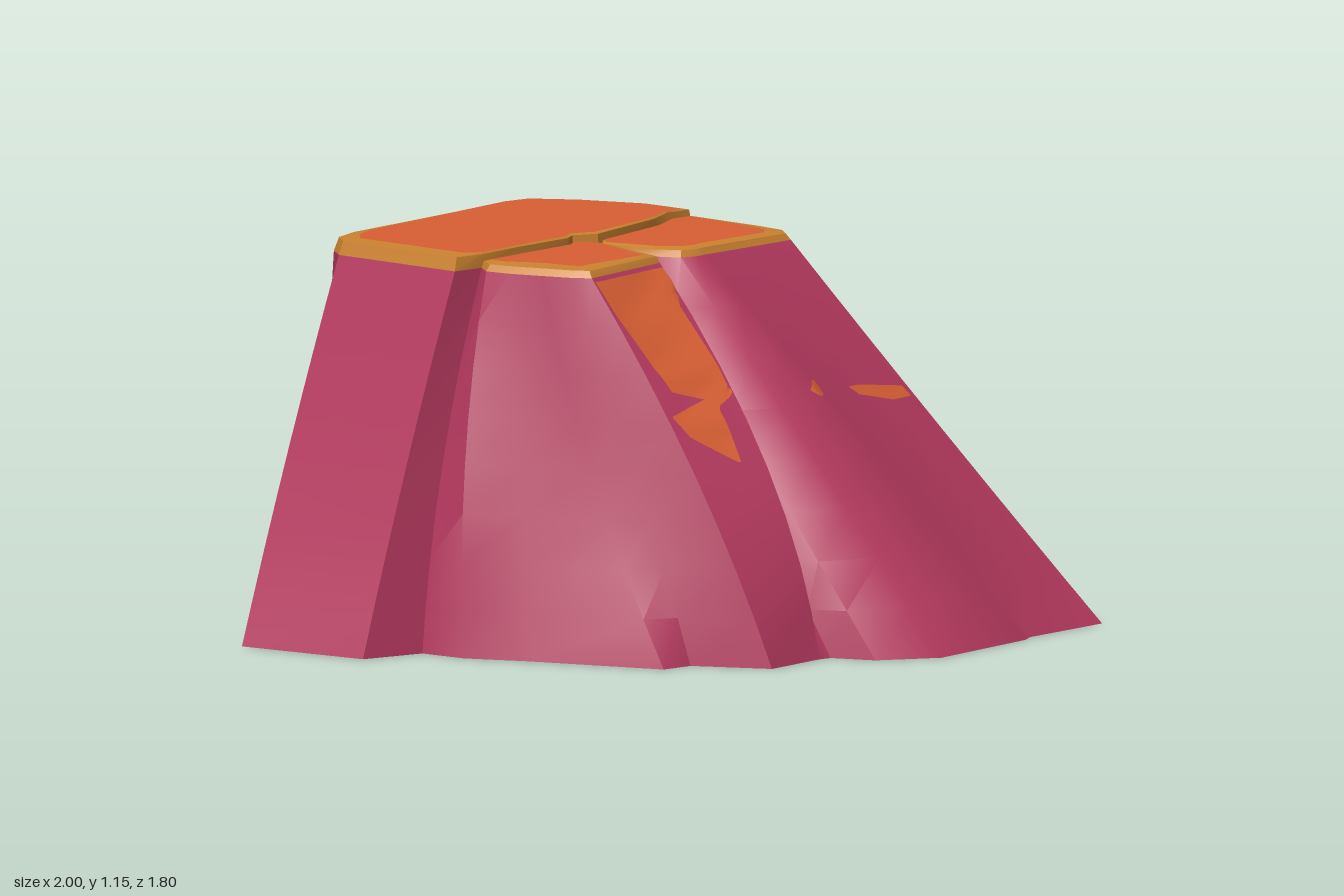
import * as THREE from 'three';
import { toCreasedNormals } from 'three/addons/utils/BufferGeometryUtils.js';

// Rock columns: base x,z - middle x,z - top x,z, running round from the back left
const COLUMNS = [
  [-1, -.82, -.76, -.84, -.55, -.82], [-.64, -.84, -.56, -.87, -.5, -.88],
  [-.4, -.9, -.4, -.9, -.4, -.9], [.3, -.9, .3, -.9, .3, -.89],
  [.66, -.88, .53, -.87, .38, -.86], [.74, -.75, .61, -.75, .46, -.73],
  [.85, -.27, .7, -.42, .54, -.53], [.93, .03, .75, -.18, .55, -.38],
  [1, .38, .78, .1, .55, -.12], [.98, .7, .76, .33, .54, -.01],
  [.92, .88, .72, .44, .5, .04], [.6, .87, .36, .45, .14, .01],
  [.55, .89, .31, .48, .1, .01], [.15, .9, .1, .46, .05, -.01],
  [-.01, .78, -.04, .37, .01, -.1], [-.06, .65, -.08, .28, 0, -.27],
  [-.1, .64, -.12, .46, -.06, 0], [-.32, .64, -.36, .38, -.4, .02],
  [-.43, .42, -.44, .22, -.43, -.03], [-.53, .4, -.5, .1, -.46, -.12],
  [-.67, 0, -.57, -.1, -.49, -.22], [-.75, -.18, -.66, -.25, -.5, -.3],
  [-.76, -.33, -.64, -.35, -.46, -.35], [-.95, -.4, -.76, -.39, -.56, -.37],
];
const WALL_TOP = 1.11;

// Triangle list to geometry with softened facets
function fromTriangles(points, angle = 0.6) {
  const g = new THREE.BufferGeometry();
  g.setAttribute('position', new THREE.Float32BufferAttribute(points.flatMap(p => [p.x, p.y, p.z]), 3));
  g.computeVertexNormals();
  return toCreasedNormals(g, angle);
}

// Joins rings of points, listed from low to high
function loft(rings, closed = true) {
  const out = [];
  for (let r = 0; r + 1 < rings.length; r++) {
    const lo = rings[r], hi = rings[r + 1], n = lo.length;
    for (let i = 0; i < (closed ? n : n - 1); i++) {
      const j = (i + 1) % n;
      out.push(lo[i], hi[i], lo[j], lo[j], hi[i], hi[j]);
    }
  }
  return out;
}

// Fills a ring, facing up or down
function fill(ring, up) {
  const faces = THREE.ShapeUtils.triangulateShape(ring.map(p => new THREE.Vector2(p.x, p.z)), []);
  return faces.flatMap(f => {
    const [a, b, c] = f.map(i => ring[i]);
    const ny = (b.z - a.z) * (c.x - a.x) - (b.x - a.x) * (c.z - a.z);
    return (ny > 0) === up ? [a, b, c] : [a, c, b];
  });
}

export function createModel() {
  const group = new THREE.Group();
  const material = (name, color) => {
    const m = new THREE.MeshStandardMaterial({ color });
    m.name = name;
    return m;
  };
  const crimson = material('crimson rock', 0xb5395f);
  const orange = material('orange moss', 0xda6034);
  const ochre = material('ochre rim', 0xcc8230);
  const add = (name, points, mat) => {
    const mesh = new THREE.Mesh(fromTriangles(points), mat);
    mesh.name = name;
    group.add(mesh);
    return mesh;
  };

  // Rock body: each column curves through its three points
  const rings = [];
  const ROWS = 8;
  for (let r = 0; r <= ROWS; r++) {
    const t = r / ROWS;
    const a = (1 - t) * (1 - 2 * t), b = 4 * t * (1 - t), c = t * (2 * t - 1);
    rings.push(COLUMNS.map(k => new THREE.Vector3(
      a * k[0] + b * k[2] + c * k[4], t * WALL_TOP, a * k[1] + b * k[3] + c * k[5])));
  }
  const top = rings[ROWS];
  const body = add('rockBody', [...loft(rings), ...fill(rings[0], false), ...fill(top, true)], crimson);

  // Three cap slabs, split by a crack and a groove
  const crack = [[.46, -.395], [.35, -.355], [.04, -.315], [-.03, -.355], [-.08, -.335], [-.3, -.35]];
  const crackPoints = (from, to, dz) => crack.slice(from, to)
    .map(([x, z]) => new THREE.Vector3(x, WALL_TOP, z + dz));
  function slab(name, outline, widths, height) {
    const centre = new THREE.Vector3();
    outline.forEach(p => centre.addScaledVector(p, 1 / outline.length));
    const inset = (k, y) => outline.map((p, i) => {
      const q = p.clone().addScaledVector(centre.clone().sub(p).normalize(), k * (widths[i] ?? .012));
      return q.setY(y);
    });
    const inner = inset(1, height);
    add(name + 'Rim', loft([outline, inset(.2, height - .005), inner]), ochre);
    add(name + 'Top', fill(inner, true), orange);
  }
  slab('rearSlab', [top[23], ...top.slice(0, 8), ...crackPoints(0, 6, 0), top[22]],
    [.07, .07, .08, .06, .02, .012, .012, .02, .04], 1.155);
  slab('rightSlab', [...top.slice(7, 16), ...crackPoints(0, 3, .012).reverse()],
    [.03, .05, .07, .08, .06, .06, .06, .04], 1.135);
  slab('leftSlab', [...top.slice(15, 23), ...crackPoints(3, 6, .012).reverse()],
    [.012, .05, .08, .08, .08, .08, .06, .03], 1.135);

  // Moss patches laid on the front faces; rows are y, left x, right x
  body.updateMatrixWorld(true);
  const ray = new THREE.Raycaster();
  const down = new THREE.Vector3(0, 0, -1);
  function patch(name, rows) {
    const lines = [];
    const line = (y, x0, x1) => {
      const pts = [];
      for (let i = 0; i <= 8; i++) {
        const x = x0 + (x1 - x0) * i / 8;
        ray.set(new THREE.Vector3(x, y, 3), down);
        const hit = ray.intersectObject(body)[0];
        pts.push(new THREE.Vector3(x, y, (hit ? hit.point.z : 0) + .008));
      }
      return pts;
    };
    for (let r = 0; r + 1 < rows.length; r++) {
      for (let s = 0; s < 3; s++) {
        lines.push(line(...rows[r].map((v, k) => v + (rows[r + 1][k] - v) * s / 3)));
      }
    }
    lines.push(line(...rows[rows.length - 1]));
    // rows run downward, so the loft faces forward
    add(name, loft(lines, false), orange);
  }
  patch('largeMossPatch', [[1.1, -.4, -.07], [1, -.385, -.07], [.85, -.34, -.08], [.785, -.32, -.09],
    [.755, -.22, -.13], [.735, -.3, -.18], [.72, -.36, -.19], [.66, -.33, -.19], [.58, -.21, -.2]]);
  patch('smallMossPatch', [[.75, .25, .28], [.73, .22, .285], [.71, .25, .28]]);
  patch('mossStripe', [[.715, .41, .46], [.69, .44, .64], [.66, .57, .655]]);

  return group;
}
